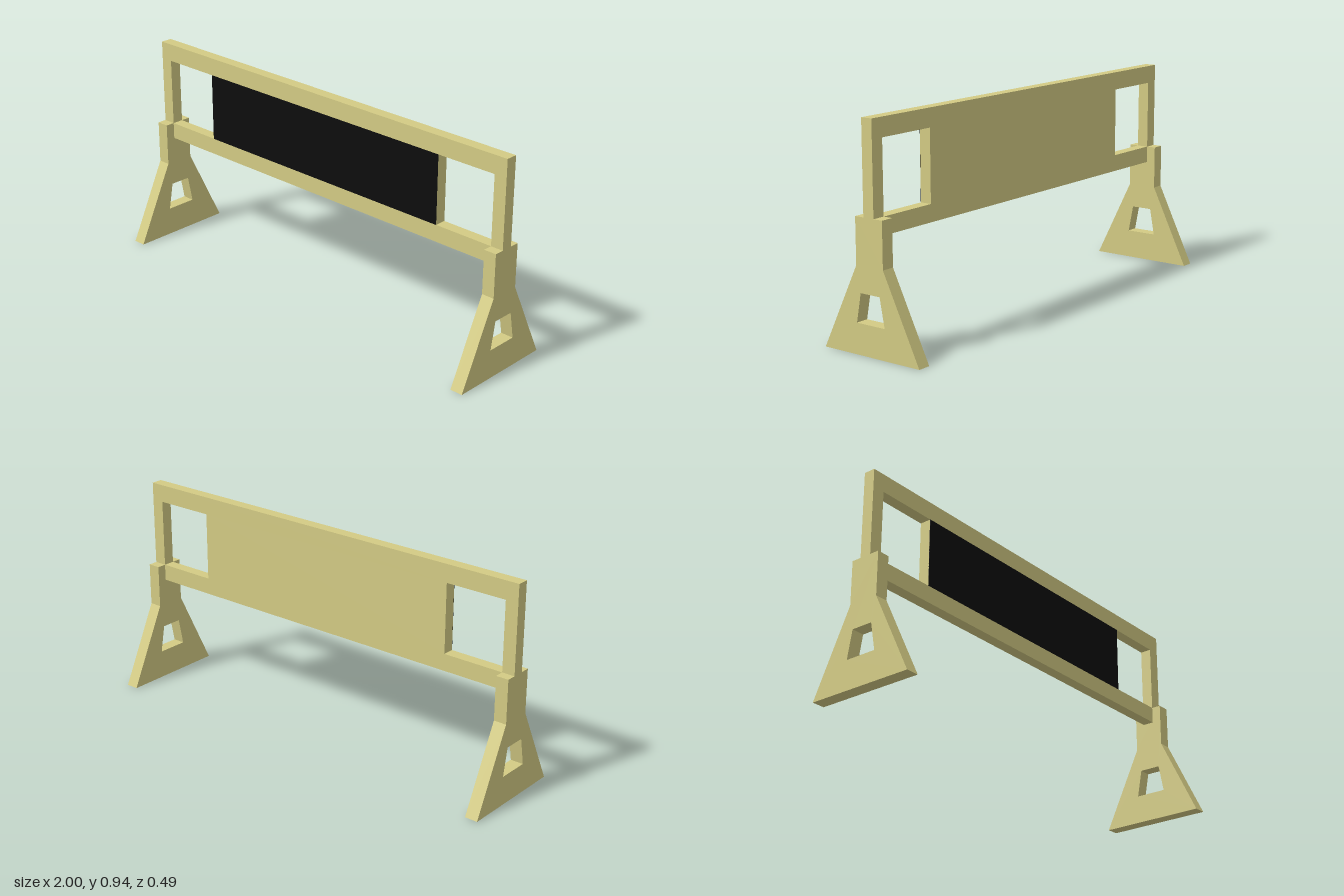
import * as THREE from 'three';

const polygon = (pts) => pts.map(([x, y]) => new THREE.Vector2(x, y));

// Extrudes an outline with holes, starting at depth z0
function slab(outline, holes, z0, depth) {
  const shape = new THREE.Shape(polygon(outline));
  shape.holes = holes.map((h) => new THREE.Path(polygon(h)));
  const geo = new THREE.ExtrudeGeometry(shape, { depth, bevelEnabled: false });
  return geo.translate(0, 0, z0);
}

export function createModel() {
  const group = new THREE.Group();
  const wood = new THREE.MeshStandardMaterial({ color: 0xd3cb84 });
  wood.name = 'pale wood';
  const black = new THREE.MeshStandardMaterial({ color: 0x0d0d0d });
  black.name = 'black panel';

  const add = (name, geo, mat, x = 0, y = 0, z = 0) => {
    const mesh = new THREE.Mesh(geo, mat);
    mesh.name = name;
    mesh.position.set(x, y, z);
    group.add(mesh);
  };

  const railTop = 0.557, openTop = 0.865, inner = 0.942, panel = 0.662;

  // Board: posts rest on the legs, lower rail drops between them
  const windows = [-1, 1].map((s) => [
    [s * panel, railTop], [s * inner, railTop], [s * inner, openTop], [s * panel, openTop],
  ]);
  add('board', slab([
    [-inner, 0.482], [inner, 0.482], [inner, railTop], [1, railTop],
    [1, 0.945], [-1, 0.945], [-1, railTop], [-inner, railTop],
  ], windows, -0.026, 0.052), wood);

  // Black face on the front of the board
  add('frontPanel', new THREE.BoxGeometry(panel * 2, openTop - railTop, 0.002), black,
    0, (openTop + railTop) / 2, 0.026);

  // Splayed legs with a tapered opening
  const leg = slab([
    [-0.245, 0], [0.245, 0], [0.069, 0.362], [0.069, railTop], [-0.069, railTop], [-0.069, 0.362],
  ], [[[-0.072, 0.13], [0.072, 0.13], [0.049, 0.253], [-0.049, 0.253]]], -0.029, 0.058);
  leg.rotateY(Math.PI / 2);
  add('leftLeg', leg, wood, 0.971);
  add('rightLeg', leg, wood, -0.971);

  return group;
}
